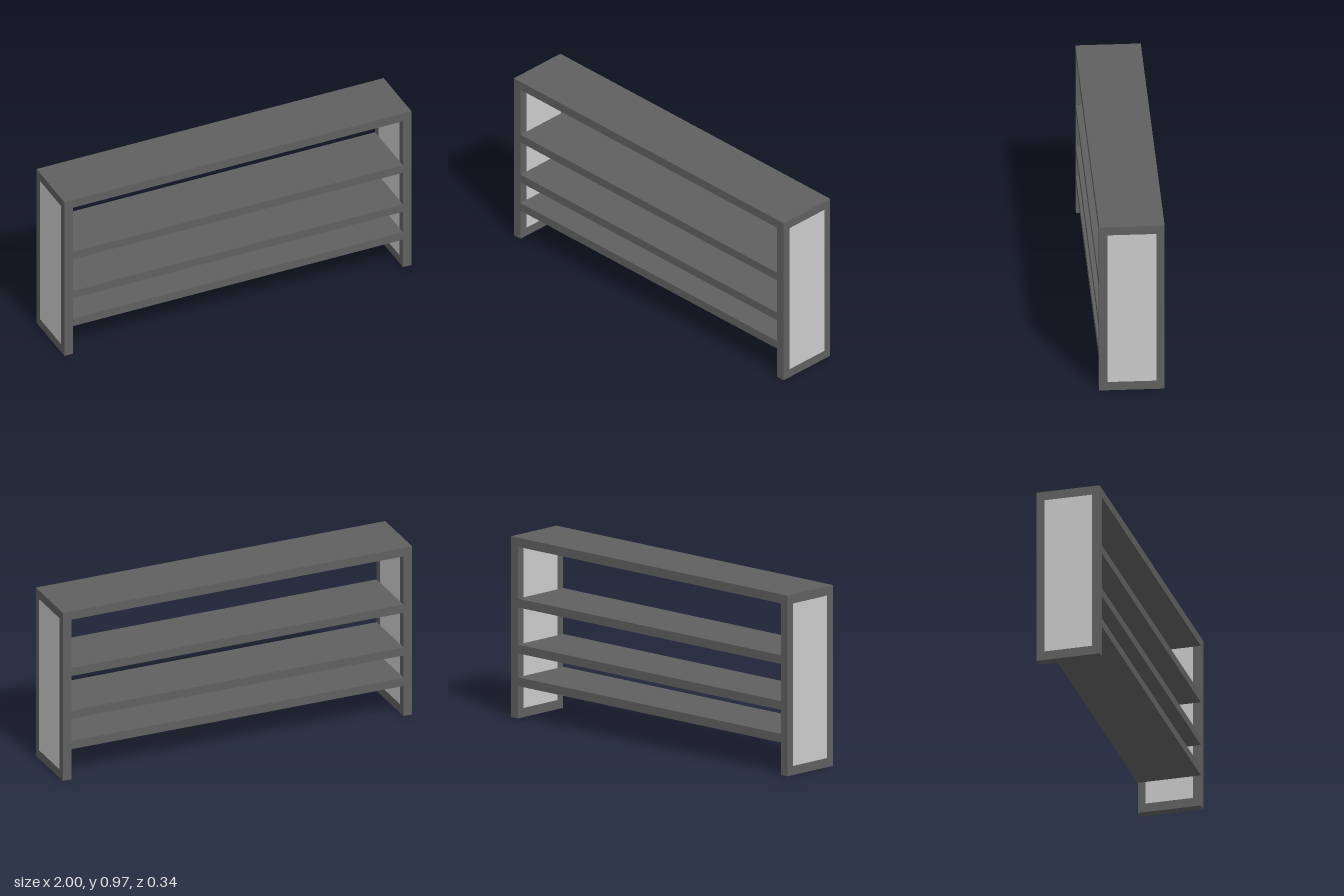
import * as THREE from 'three';

export function createModel() {
  const group = new THREE.Group();
  group.name = 'shelfUnit';
  const frameMat = new THREE.MeshStandardMaterial({ color: 0x606060 });
  const panelMat = new THREE.MeshStandardMaterial({ color: 0xcccccc });

  const H = 0.968, D = 0.342, T = 0.049, POST = 0.043;

  const box = (name, w, h, d, x, y, z, mat, parent) => {
    const mesh = new THREE.Mesh(new THREE.BoxGeometry(w, h, d), mat);
    mesh.name = name;
    mesh.position.set(x, y, z);
    parent.add(mesh);
  };

  // End frames: two posts, a foot rail and a flush infill panel
  for (const side of [1, -1]) {
    const end = new THREE.Group();
    end.name = side > 0 ? 'leftEnd' : 'rightEnd';
    const x = side * (1 - T / 2);
    for (const s of [1, -1]) {
      box(s > 0 ? 'frontPost' : 'backPost', T, H - T, POST, x, (H - T) / 2, s * (D - POST) / 2, frameMat, end);
    }
    box('footRail', T, T, D - 2 * POST, x, T / 2, 0, frameMat, end);
    box('sidePanel', T, H - 2 * T, D - 2 * POST, x, H / 2, 0, panelMat, end);
    group.add(end);
  }

  // Top board across the full width
  box('topBoard', 2, T, D, 0, H - T / 2, 0, frameMat, group);

  // Shelves between the end frames, spaced wider towards the top
  [0.197, 0.372, 0.618].forEach((y, i) => {
    box('shelf' + (i + 1), 2 - 2 * T, 0.047, D, 0, y, 0, frameMat, group);
  });

  return group;
}
